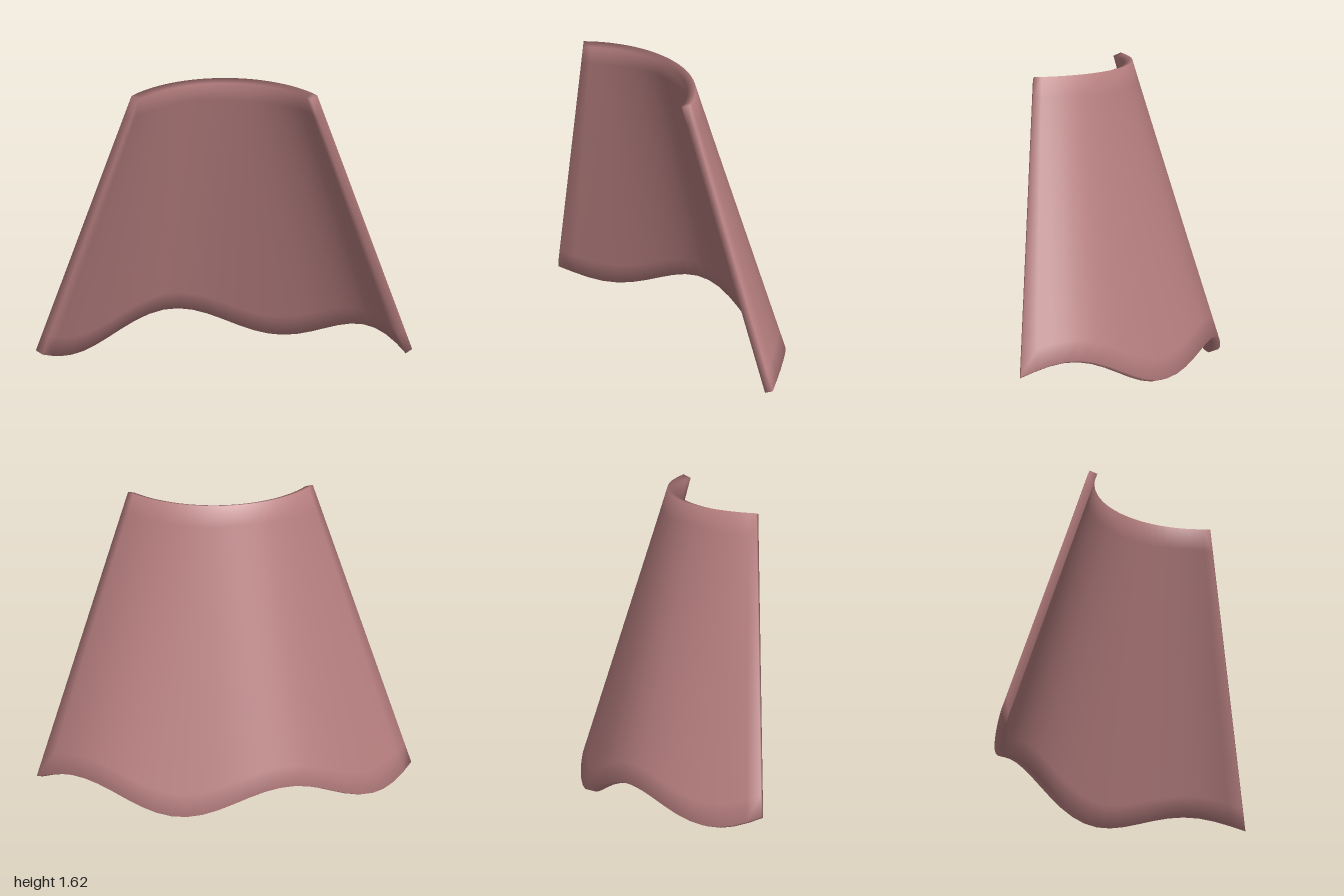
import * as THREE from 'three';

const COLS = 28, ROWS = 14, SPREAD = 0.943, THICK = 0.045;
const TOP = { r: 0.61, c: 0.69, y: 1.617 };
const HEM = { r: 1.236, c: 0.87, y: 0.086 };

// Point on the flared panel; inset moves it inward along the surface normal.
function panelPoint(u, t, inset) {
  const a = (u * 2 - 1) * SPREAD;
  const r = THREE.MathUtils.lerp(TOP.r, HEM.r, t);
  const c = THREE.MathUtils.lerp(TOP.c, HEM.c, t);
  const hem = HEM.y - 0.075 * Math.sin((u * 2 - 1) * Math.PI * 2);
  const slope = (HEM.r - TOP.r - (HEM.c - TOP.c) * Math.cos(a)) / (TOP.y - HEM.y);
  const normal = new THREE.Vector3(Math.sin(a), slope, -Math.cos(a)).normalize();
  return new THREE.Vector3(
    r * Math.sin(a), THREE.MathUtils.lerp(TOP.y, hem, t), c - r * Math.cos(a)
  ).addScaledVector(normal, -inset);
}

// Closed thin shell with vertices shared around the rim for soft edges.
function panelGeometry() {
  const positions = [], index = [];
  const layer = (COLS + 1) * (ROWS + 1);
  const outer = (i, j) => j * (COLS + 1) + i;
  const inner = (i, j) => layer + outer(i, j);
  const quad = (a, b, c, d) => index.push(a, b, c, a, c, d);

  for (const inset of [0, THICK])
    for (let j = 0; j <= ROWS; j++)
      for (let i = 0; i <= COLS; i++)
        positions.push(...panelPoint(i / COLS, j / ROWS, inset).toArray());

  // Outside and inside faces
  for (let j = 0; j < ROWS; j++)
    for (let i = 0; i < COLS; i++) {
      quad(outer(i, j), outer(i + 1, j), outer(i + 1, j + 1), outer(i, j + 1));
      quad(inner(i, j), inner(i, j + 1), inner(i + 1, j + 1), inner(i + 1, j));
    }
  // Top rim and wavy hem
  for (let i = 0; i < COLS; i++) {
    quad(outer(i, 0), inner(i, 0), inner(i + 1, 0), outer(i + 1, 0));
    quad(outer(i, ROWS), outer(i + 1, ROWS), inner(i + 1, ROWS), inner(i, ROWS));
  }
  // Side rims
  for (let j = 0; j < ROWS; j++) {
    quad(outer(COLS, j), inner(COLS, j), inner(COLS, j + 1), outer(COLS, j + 1));
    quad(outer(0, j), outer(0, j + 1), inner(0, j + 1), inner(0, j));
  }

  const geometry = new THREE.BufferGeometry();
  geometry.setAttribute('position', new THREE.Float32BufferAttribute(positions, 3));
  geometry.setIndex(index);
  geometry.computeVertexNormals();
  return geometry;
}

export function createModel() {
  const group = new THREE.Group();
  group.name = 'cape';
  const cloth = new THREE.MeshStandardMaterial({ color: 0xb98081 });
  cloth.name = 'dusty rose cloth';
  const panel = new THREE.Mesh(panelGeometry(), cloth);
  panel.name = 'clothPanel';
  group.add(panel);
  return group;
}
